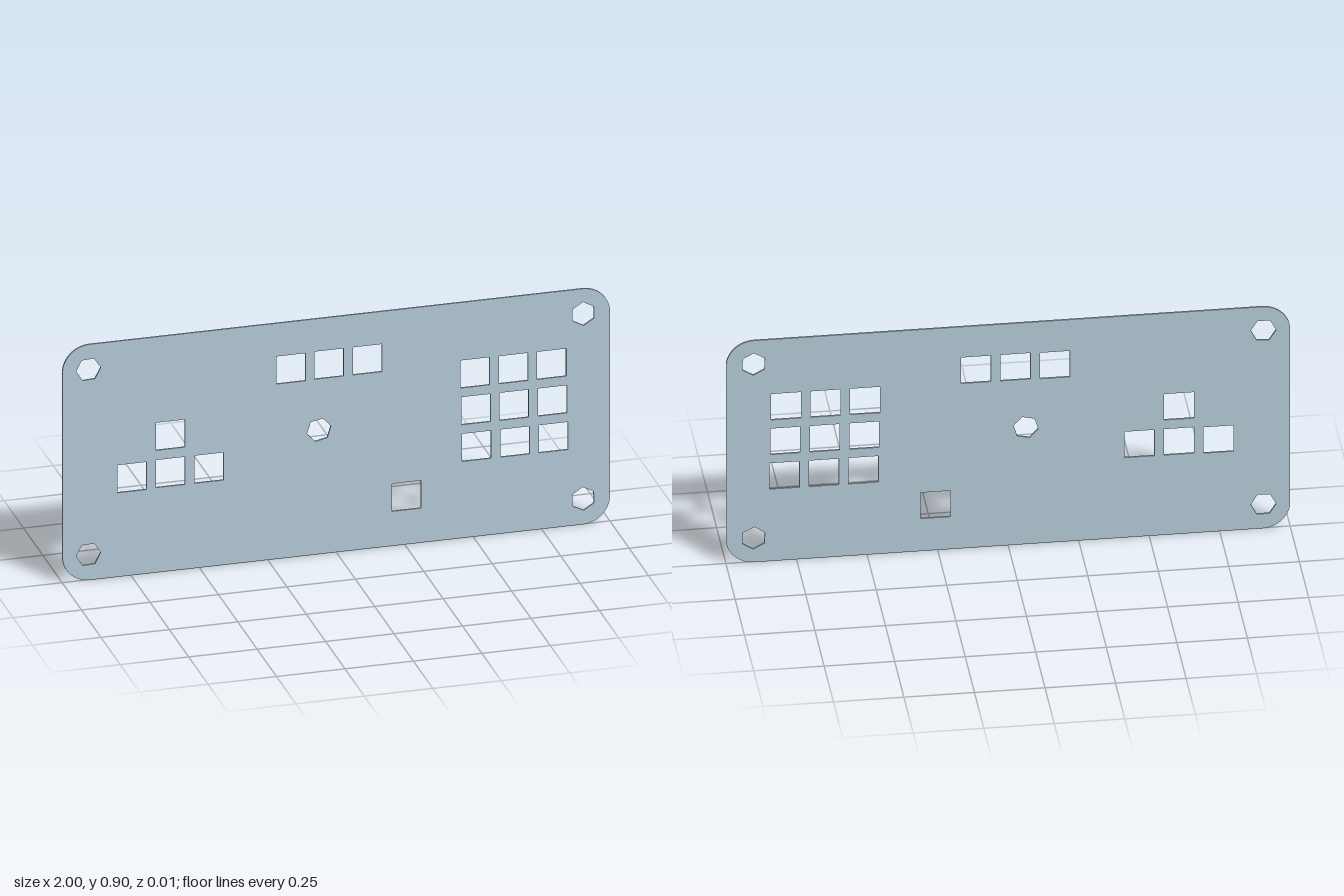
import * as THREE from 'three';

const W = 2, H = 0.903, T = 0.007, R = 0.1;

// Closed path through a regular polygon
function polygon(x, y, radius, sides, turn) {
  const points = [];
  for (let i = 0; i < sides; i++) {
    const a = turn + (i / sides) * Math.PI * 2;
    points.push(new THREE.Vector2(x + radius * Math.cos(a), y + radius * Math.sin(a)));
  }
  return new THREE.Path(points).closePath();
}

const squareHole = (x, y, size = 0.106) =>
  polygon(x, y, size / Math.SQRT2, 4, Math.PI / 4);

export function createModel() {
  const group = new THREE.Group();
  group.name = 'switchPlate';

  // Rounded plate outline
  const outline = new THREE.Shape();
  const x = W / 2 - R;
  outline.absarc(x, R, R, -Math.PI / 2, 0);
  outline.absarc(x, H - R, R, 0, Math.PI / 2);
  outline.absarc(-x, H - R, R, Math.PI / 2, Math.PI);
  outline.absarc(-x, R, R, Math.PI, Math.PI * 1.5);
  outline.closePath();

  // Three by three block of square cut-outs
  for (let row = 0; row < 3; row++)
    for (let col = 0; col < 3; col++)
      outline.holes.push(squareHole(0.507 + col * 0.14 + row * 0.003, 0.628 - row * 0.141));

  // Top row, arrow cluster and single cut-out
  for (const [hx, hy] of [
    [-0.166, 0.723], [-0.026, 0.725], [0.114, 0.725],
    [-0.606, 0.521], [-0.746, 0.375], [-0.606, 0.378], [-0.465, 0.378],
    [0.257, 0.185],
  ]) outline.holes.push(squareHole(hx, hy));

  // Six-sided screw holes: corners and middle
  for (const [hx, hy, turn] of [
    [-0.905, 0.807, 0.05], [0.902, 0.807, 0.55],
    [-0.905, 0.098, 0.05], [0.902, 0.098, 0.58],
    [-0.063, 0.476, 0.22],
  ]) outline.holes.push(polygon(hx, hy, 0.045, 6, turn));

  const geometry = new THREE.ExtrudeGeometry(outline, {
    depth: T, bevelEnabled: false, curveSegments: 12,
  });
  geometry.translate(0, 0, -T / 2);

  const plate = new THREE.Mesh(geometry, new THREE.MeshStandardMaterial({ color: 0xb4cad7 }));
  plate.name = 'plate';
  group.add(plate);
  return group;
}
